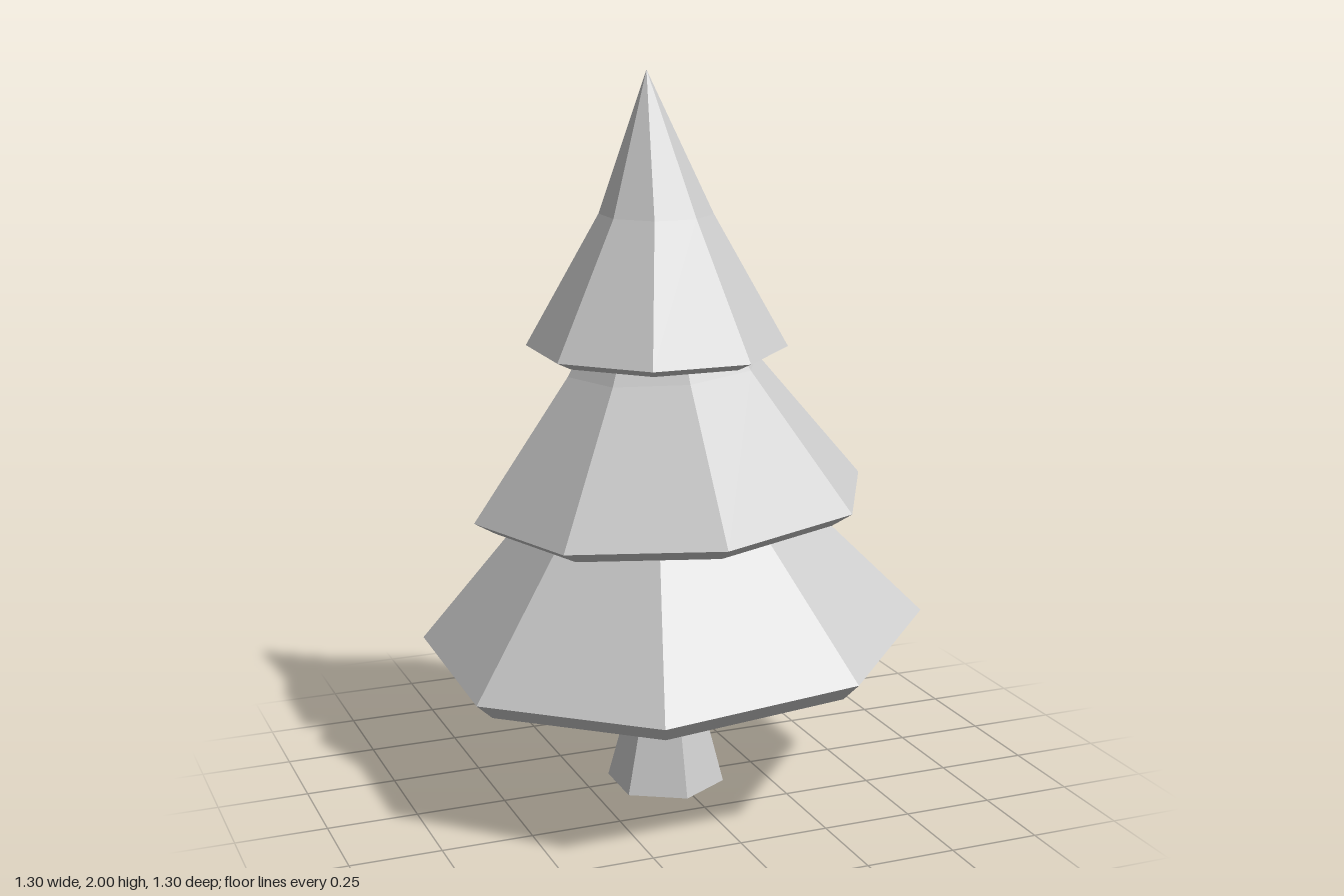
import * as THREE from 'three';

const material = new THREE.MeshStandardMaterial({ color: 0xcccccc, flatShading: true });

// Faceted skin through polygon rings [radius, y, centreX, centreZ]; slopes tilt each ring
function facetedSkin(name, rings, sides, turn, slopeX = 0, slopeZ = 0) {
  const point = ([r, y, cx, cz], i) => {
    const a = turn + (i * 2 * Math.PI) / sides;
    const dx = r * Math.cos(a), dz = r * Math.sin(a);
    return [cx + dx, y + slopeX * dx + slopeZ * dz, cz + dz];
  };
  const positions = [];
  for (let k = 0; k < rings.length - 1; k++) {
    const low = rings[k], high = rings[k + 1];
    for (let i = 0; i < sides; i++) {
      const a = point(low, i), b = point(low, i + 1);
      const c = point(high, i), d = point(high, i + 1);
      if (low[0] > 0) positions.push(...a, ...c, ...b);
      if (high[0] > 0) positions.push(...c, ...d, ...b);
    }
  }
  const geometry = new THREE.BufferGeometry();
  geometry.setAttribute('position', new THREE.Float32BufferAttribute(positions, 3));
  geometry.computeVertexNormals();
  const mesh = new THREE.Mesh(geometry, material);
  mesh.name = name;
  return mesh;
}

export function createModel() {
  const tree = new THREE.Group();
  tree.name = 'pineTree';
  const deg = Math.PI / 180;

  // Six-sided trunk, flared at the foot
  tree.add(facetedSkin('trunk', [
    [0, 0, -0.022, 0.012],
    [0.166, 0, -0.022, 0.012],
    [0.08, 0.325, -0.02, 0.01],
    [0.075, 0.8, -0.02, 0.01],
    [0, 0.8, -0.02, 0.01],
  ], 6, 30 * deg));

  // Each hollow tier runs up from the inner hollow, round the rim, to the outer peak
  tree.add(facetedSkin('lowerBranches', [
    [0, 1.0, -0.04, 0.01],
    [0.28, 0.82, -0.03, 0.01],
    [0.65, 0.405, 0, 0],
    [0.702, 0.456, 0, 0],
    [0.335, 0.86, -0.03, 0.01],
    [0, 1.3, -0.05, 0.01],
  ], 8, 23 * deg, 0.083, -0.03));

  tree.add(facetedSkin('middleBranches', [
    [0, 1.4, -0.04, 0.01],
    [0.22, 1.16, -0.03, 0.015],
    [0.495, 0.793, -0.005, 0.01],
    [0.553, 0.829, -0.005, 0.01],
    [0.268, 1.205, -0.028, 0.016],
    [0, 1.65, -0.045, 0.01],
  ], 8, 6.5 * deg, 0.063, 0.012));

  tree.add(facetedSkin('topBranches', [
    [0, 1.85, -0.055, -0.01],
    [0.12, 1.6, -0.045, 0.008],
    [0.31, 1.238, -0.045, 0.008],
    [0.357, 1.26, -0.045, 0.008],
    [0.155, 1.62, -0.046, 0.008],
    [0, 2.0, -0.06, -0.025],
  ], 8, 23 * deg));

  return tree;
}
